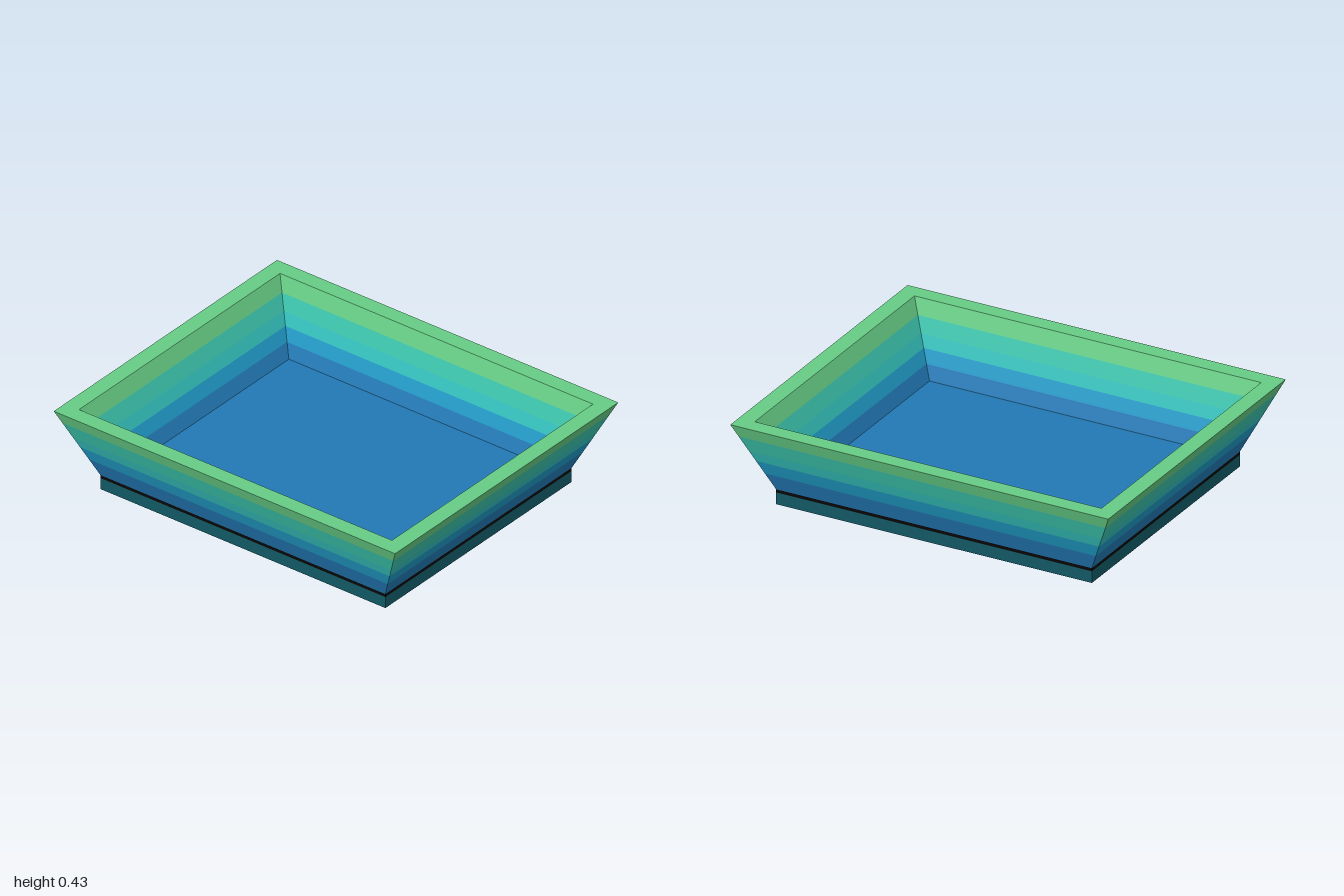
import * as THREE from 'three';

const paint = (name, color) => {
  const m = new THREE.MeshStandardMaterial({ color });
  m.name = name;
  return m;
};

// Four flat quads joining two rectangles, each given as [halfX, y, halfZ].
// Going from a lower to a higher rectangle faces outward; the reverse faces inward.
function band(a, b) {
  const corners = ([x, y, z]) => [[x, y, z], [x, y, -z], [-x, y, -z], [-x, y, z]];
  const A = corners(a), B = corners(b), pos = [];
  for (let i = 0; i < 4; i++) {
    const j = (i + 1) % 4;
    pos.push(...A[i], ...A[j], ...B[j], ...A[i], ...B[j], ...B[i]);
  }
  const g = new THREE.BufferGeometry();
  g.setAttribute('position', new THREE.Float32BufferAttribute(pos, 3));
  g.computeVertexNormals();
  return g;
}

export function createModel() {
  const group = new THREE.Group();
  const green = paint('rim green', 0x66cc85);
  const seaGreen = paint('sea green', 0x3bc4ac);
  const turquoise = paint('turquoise', 0x34bfbb);
  const sky = paint('bright blue', 0x209ac6);
  const deep = paint('deep blue', 0x2279b5);
  const petrol = paint('dark petrol', 0x125864);
  const black = paint('black', 0x060606);
  const glaze = [green, seaGreen, turquoise, sky, deep];

  const add = (name, geometry, material) => {
    const mesh = new THREE.Mesh(geometry, material);
    mesh.name = name;
    group.add(mesh);
    return mesh;
  };

  // Main rectangles of the tray
  const outerTop = [1, 0.428, 0.833], outerLow = [0.835, 0.076, 0.695];
  const innerTop = [0.917, 0.428, 0.75], innerLow = [0.768, 0.08, 0.626];
  const atHeight = (top, low, y) => {
    const t = (y - low[1]) / (top[1] - low[1]);
    return [0, 1, 2].map(i => low[i] + (top[i] - low[i]) * t);
  };

  // Sloping walls, striped from rim to foot
  const outerY = [0.428, 0.364, 0.284, 0.231, 0.163, 0.076];
  const innerY = [0.428, 0.35, 0.275, 0.215, 0.15, 0.08];
  glaze.forEach((m, i) => {
    add('outerWallBand' + (i + 1), band(
      atHeight(outerTop, outerLow, outerY[i + 1]), atHeight(outerTop, outerLow, outerY[i])), m);
    add('innerWallBand' + (i + 1), band(
      atHeight(innerTop, innerLow, innerY[i]), atHeight(innerTop, innerLow, innerY[i + 1])), m);
  });

  // Flat rim
  add('rim', band(outerTop, innerTop), green);

  // Floor of the tray
  const floor = add('floor', new THREE.PlaneGeometry(innerLow[0] * 2, innerLow[2] * 2), deep);
  floor.rotation.x = -Math.PI / 2;
  floor.position.y = innerLow[1];

  // Straight foot with a thin black line above it
  const [fx, , fz] = outerLow;
  add('foot', band([fx, 0, fz], [fx, 0.06, fz]), petrol);
  add('footLine', band([fx, 0.06, fz], outerLow), black);

  // Underside
  const underside = add('underside', new THREE.PlaneGeometry(fx * 2, fz * 2), black);
  underside.rotation.x = Math.PI / 2;

  return group;
}
